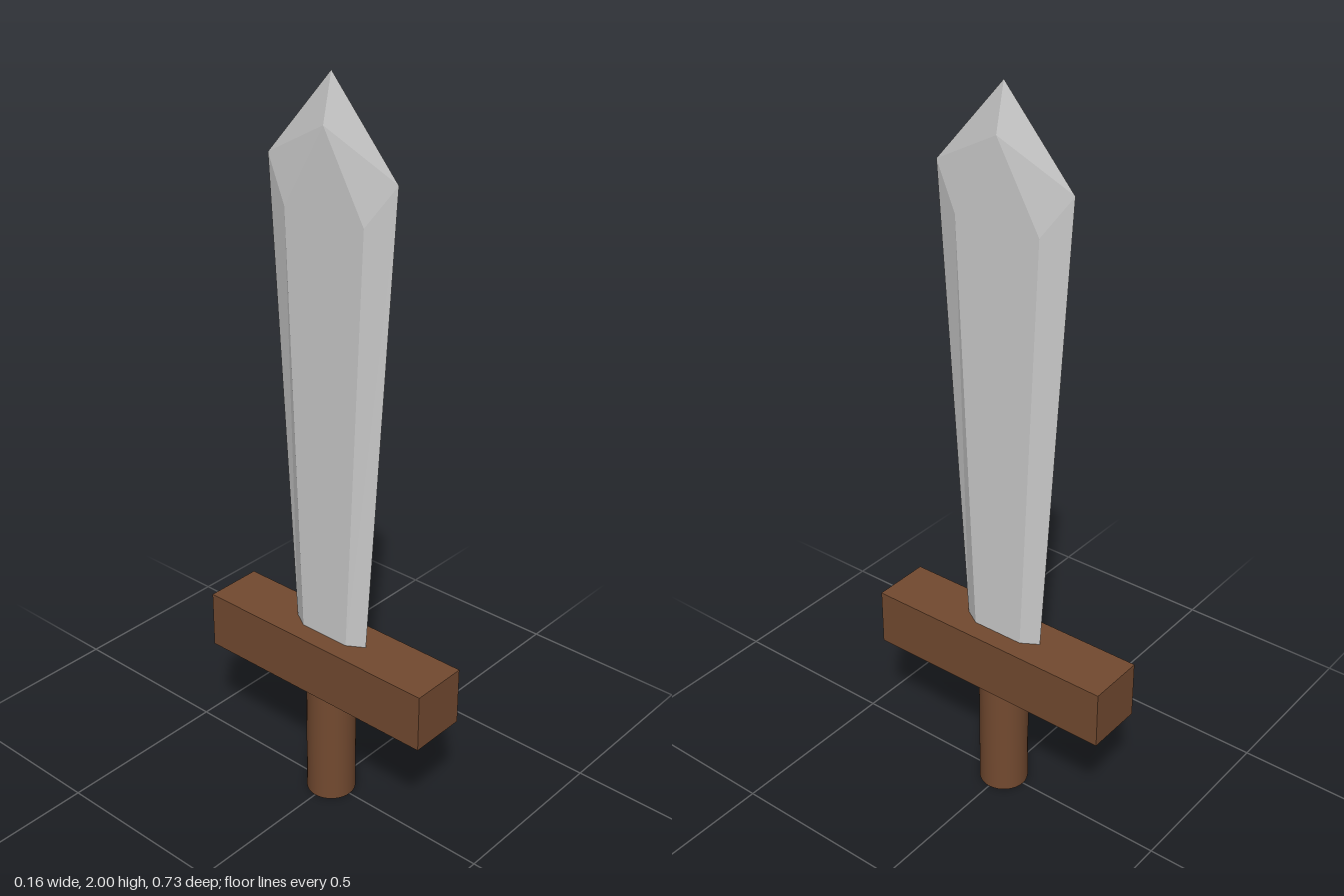
import * as THREE from 'three';

const wood = new THREE.MeshStandardMaterial({ color: 0x734a30 });
const steel = new THREE.MeshStandardMaterial({ color: 0xcccccc, flatShading: true });

// Six-sided ring: sharp edges at +z and -z, flat faces at +x and -x
function ring(half, edge, ridge, edgeY, ridgeY) {
  return [
    [0, edgeY, edge], [half, ridgeY, ridge], [half, ridgeY, -ridge],
    [0, edgeY, -edge], [-half, ridgeY, -ridge], [-half, ridgeY, ridge],
  ];
}

function bladeGeometry() {
  const half = 0.028;
  const low = ring(half, 0.12, 0.074, 0.5, 0.5);
  const high = ring(half, 0.2, 0.123, 1.775, 1.665);
  const tip = [0, 2, 0];
  const points = [];
  const tri = (a, b, c) => points.push(...a, ...b, ...c);

  // Tapered sides and closed base
  for (let i = 0; i < 6; i++) {
    const j = (i + 1) % 6;
    tri(low[i], low[j], high[j]);
    tri(low[i], high[j], high[i]);
    tri(low[j], low[i], [0, 0.5, 0]);
  }

  // Bevelled point, the same on both faces
  for (const s of [0, 3]) {
    const [a, b, c, d] = [0, 1, 2, 3].map((k) => high[(s + k) % 6]);
    const peak = [s ? -half : half, 1.88, 0];
    tri(b, c, peak);
    tri(a, b, peak);
    tri(a, peak, tip);
    tri(c, d, peak);
    tri(d, tip, peak);
  }

  const geometry = new THREE.BufferGeometry();
  geometry.setAttribute('position', new THREE.Float32BufferAttribute(points, 3));
  geometry.computeVertexNormals();
  return geometry;
}

export function createModel() {
  const model = new THREE.Group();
  model.name = 'sword';
  const add = (name, geometry, material, y = 0) => {
    const mesh = new THREE.Mesh(geometry, material);
    mesh.name = name;
    mesh.position.y = y;
    model.add(mesh);
  };

  add('handle', new THREE.CylinderGeometry(0.068, 0.068, 0.35, 32), wood, 0.175);
  add('crossguard', new THREE.BoxGeometry(0.164, 0.162, 0.73), wood, 0.43);
  add('blade', bladeGeometry(), steel);
  return model;
}
